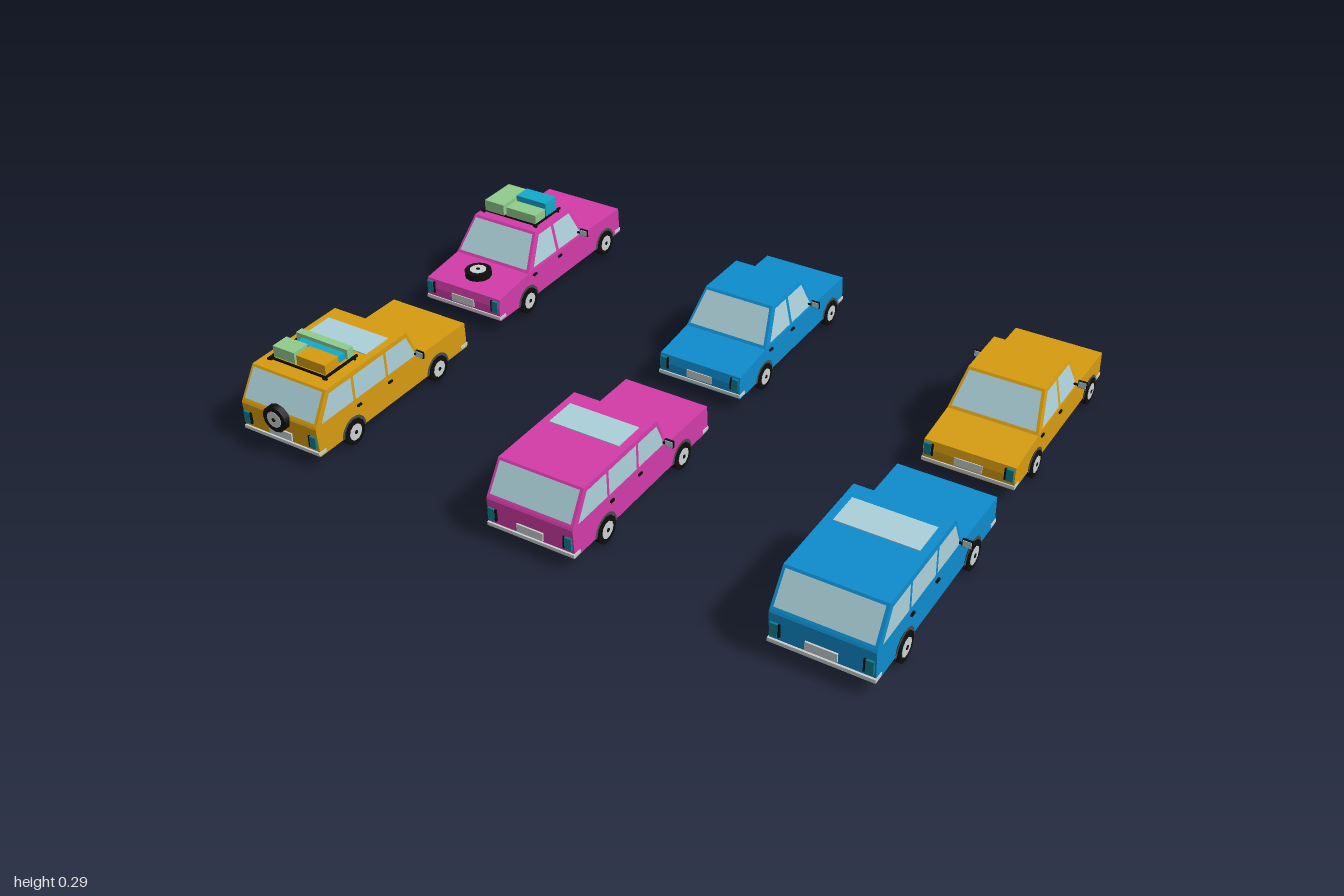
import * as THREE from 'three';

const mat = (name, color, double) => {
  const m = new THREE.MeshStandardMaterial({ color });
  m.name = name;
  if (double) m.side = THREE.DoubleSide;
  return m;
};
const M = {
  yellow: mat('yellowPaint', 0xd69c10, true),
  magenta: mat('magentaPaint', 0xd23ca8, true),
  blue: mat('bluePaint', 0x0d8ccd, true),
  glass: mat('glass', 0xabcfd8, true),
  black: mat('black', 0x0d0d0d),
  grey: mat('lightGrey', 0xc9cfcf),
  dark: mat('darkGrey', 0x484c4e, true),
  teal: mat('lampTeal', 0x0b7f92),
  cyan: mat('caseCyan', 0x13a8cc),
  green: mat('caseGreen', 0x90cb8c),
};

function add(parent, name, geo, material, x = 0, y = 0, z = 0) {
  const m = new THREE.Mesh(geo, material);
  m.name = name;
  m.position.set(x, y, z);
  parent.add(m);
  return m;
}
const box = (p, name, material, w, h, d, x, y, z) =>
  add(p, name, new THREE.BoxGeometry(w, h, d), material, x, y, z);

function triGeo(verts) {
  const g = new THREE.BufferGeometry();
  g.setAttribute('position', new THREE.Float32BufferAttribute(verts, 3));
  g.computeVertexNormals();
  return g;
}
const quad = (a, b, c, d) => triGeo([...a, ...b, ...c, ...a, ...c, ...d]);

// Side outlines run from rear bottom over the roof to front bottom: [z, y, half width].
// The four cabin corners start at index "cabin".
const HW = 0.131;
const SEDAN = {
  cabin: 3,
  outline: [[0.315, 0.035, HW], [0.32, 0.08, HW], [0.315, 0.106, HW], [0.17, 0.122, HW],
    [0.097, 0.222, 0.11], [-0.08, 0.222, 0.11], [-0.125, 0.122, HW], [-0.316, 0.119, HW], [-0.32, 0.035, HW]],
  windows: [[[0.143, 0.131], [0.087, 0.211], [0.025, 0.211], [0.025, 0.131]],
    [[0.012, 0.131], [0.012, 0.211], [-0.07, 0.211], [-0.105, 0.131]]],
  handles: [0.14, 0.01],
  wheels: [0.18, -0.23],
};
const WAGON = {
  cabin: 2,
  outline: [[0.322, 0.035, HW], [0.328, 0.125, HW], [0.325, 0.132, HW], [0.27, 0.22, 0.129],
    [-0.07, 0.22, 0.129], [-0.114, 0.121, HW], [-0.324, 0.118, HW], [-0.328, 0.035, HW]],
  windows: [[[0.305, 0.133], [0.262, 0.207], [0.174, 0.207], [0.174, 0.133]],
    [[0.164, 0.133], [0.164, 0.207], [0.036, 0.207], [0.036, 0.133]],
    [[0.026, 0.133], [0.026, 0.207], [-0.063, 0.207], [-0.097, 0.133]]],
  handles: [0.153, 0.02],
  wheels: [0.186, -0.186],
};

// Thin shell, open underneath
function shell({ outline, cabin }) {
  const v = [];
  const p = ([z, y, w], s) => [s * w, y, z];
  for (let i = 0; i < outline.length - 1; i++) {
    const a = outline[i], b = outline[i + 1];
    v.push(...p(a, 1), ...p(b, 1), ...p(b, -1), ...p(a, 1), ...p(b, -1), ...p(a, -1));
  }
  const upper = outline.slice(cabin, cabin + 4);
  const lower = outline.filter((_, i) => i !== cabin + 1 && i !== cabin + 2);
  for (const poly of [lower, upper]) {
    const contour = poly.map(([z, y]) => new THREE.Vector2(z, y));
    for (const [a, b, c] of THREE.ShapeUtils.triangulateShape(contour, [])) {
      const t = [poly[a], poly[b], poly[c]];
      const area = (t[1][0] - t[0][0]) * (t[2][1] - t[0][1]) - (t[1][1] - t[0][1]) * (t[2][0] - t[0][0]);
      if (area > 0) t.reverse();
      t.forEach((q) => v.push(...p(q, 1)));
      t.reverse().forEach((q) => v.push(...p(q, -1)));
    }
  }
  return triGeo(v);
}

// Wheel with its axis along x and a hub showing on both faces
function wheel(name) {
  const g = new THREE.Group();
  g.name = name;
  const disc = (n, r, w, sides, m) => {
    add(g, n, new THREE.CylinderGeometry(r, r, w, sides), m).rotation.z = Math.PI / 2;
  };
  disc('tyre', 0.04, 0.02, 12, M.black);
  disc('hub', 0.025, 0.023, 10, M.grey);
  disc('hubCap', 0.006, 0.026, 8, M.black);
  return g;
}

function car(name, kind, paint, x, z, scale) {
  const g = new THREE.Group();
  g.name = name;
  g.position.set(x, 0, z);
  g.scale.setScalar(scale);
  const { outline, cabin, windows, handles, wheels } = kind;
  add(g, 'body', shell(kind), paint);
  const [rb, rt, ft, fb] = outline.slice(cabin, cabin + 4);

  // Windscreen and rear window
  [['rearWindow', rb, rt, 1], ['windscreen', fb, ft, -1]].forEach(([n, a, b, s]) => {
    const at = (t) => [0, 1, 2].map((i) => a[i] + (b[i] - a[i]) * t);
    const l = at(0.07), h = at(0.93), o = 0.0015, e = 0.008;
    const pt = (q, side) => [side * (q[2] - e), q[1] + o, q[0] + s * o];
    add(g, n, quad(pt(l, 1), pt(h, 1), pt(h, -1), pt(l, -1)), M.glass);
  });

  const rear = outline[1][0], front = outline[outline.length - 1][0];
  for (const s of [1, -1]) {
    // Side windows follow the lean of the cabin
    windows.forEach((w) => {
      const pts = w.map(([wz, wy]) => {
        const t = (wy - rb[1]) / (rt[1] - rb[1]);
        return [s * (rb[2] + (rt[2] - rb[2]) * t + 0.002), wy, wz];
      });
      add(g, 'sideWindow', quad(...(s > 0 ? pts : pts.reverse())), M.glass);
    });
    handles.forEach((hz) => box(g, 'doorHandle', M.black, 0.006, 0.006, 0.016, s * 0.133, 0.108, hz));
    // Wheels and arches
    wheels.forEach((wz) => {
      const w = wheel('wheel');
      w.position.set(s * 0.129, 0.039, wz);
      g.add(w);
      const arch = new THREE.RingGeometry(0.038, 0.05, 12, 1, 0, Math.PI);
      add(g, 'wheelArch', arch, M.dark, s * 0.135, 0.037, wz).rotation.y = s * Math.PI / 2;
    });
    // Wing mirror
    box(g, 'mirrorArm', M.black, 0.02, 0.005, 0.005, s * 0.138, 0.14, -0.092);
    box(g, 'mirrorShell', M.black, 0.026, 0.021, 0.006, s * 0.154, 0.145, -0.091);
    box(g, 'mirrorGlass', M.glass, 0.022, 0.017, 0.002, s * 0.154, 0.145, -0.087);
    // Lamps
    box(g, 'tailLamp', M.teal, 0.02, 0.036, 0.008, s * 0.117, 0.082, rear);
    box(g, 'tailLampEdge', M.black, 0.005, 0.036, 0.006, s * 0.104, 0.082, rear);
    box(g, 'headLamp', M.teal, 0.022, 0.034, 0.01, s * 0.114, 0.085, front + 0.002);
  }
  box(g, 'grille', M.grey, 0.19, 0.026, 0.008, 0, 0.086, front + 0.002);
  box(g, 'numberPlate', M.grey, 0.08, 0.024, 0.005, 0, 0.07, rear);
  box(g, 'rearBumper', M.grey, 0.266, 0.01, 0.03, 0, 0.046, rear - 0.014);
  box(g, 'frontBumper', M.grey, 0.266, 0.01, 0.03, 0, 0.046, front + 0.014);
  if (kind === WAGON) box(g, 'sunroof', M.glass, 0.214, 0.003, 0.097, 0, 0.221, 0.03);
  return g;
}

// Roof rack: two long rails, cross bars and feet
function rack(parent, y, z, w, d) {
  for (const s of [1, -1]) {
    box(parent, 'rackRail', M.black, 0.006, 0.006, d, s * w / 2, y + 0.01, z);
    for (const e of [1, -1]) box(parent, 'rackFoot', M.black, 0.006, 0.012, 0.006, s * w / 2, y + 0.005, z + e * d * 0.42);
  }
  for (const e of [-0.42, 0, 0.42]) box(parent, 'rackBar', M.black, w, 0.005, 0.006, 0, y + 0.009, z + e * d);
}

export function createModel() {
  const root = new THREE.Group();
  root.name = 'carSet';
  const cars = [
    ['magentaSedan', SEDAN, M.magenta, -0.833, -0.4225, 1.035],
    ['blueSedan', SEDAN, M.blue, -0.005, -0.42, 1],
    ['yellowSedan', SEDAN, M.yellow, 0.82, -0.42, 1],
    ['yellowWagon', WAGON, M.yellow, -0.832, 0.3975, 1],
    ['magentaWagon', WAGON, M.magenta, -0.005, 0.4025, 1],
    ['blueWagon', WAGON, M.blue, 0.825, 0.4025, 1.06],
  ].map((c) => car(...c));
  root.add(...cars);

  // Luggage and spare wheel on the sedan
  const sedan = cars[0];
  rack(sedan, 0.221, 0.015, 0.19, 0.135);
  box(sedan, 'greenCase', M.green, 0.068, 0.034, 0.122, -0.052, 0.25, 0.016);
  box(sedan, 'cyanCaseLow', M.cyan, 0.105, 0.026, 0.054, 0.042, 0.246, -0.008);
  box(sedan, 'cyanCaseTop', M.cyan, 0.105, 0.017, 0.054, 0.042, 0.268, -0.008);
  box(sedan, 'greenCaseSmall', M.green, 0.105, 0.028, 0.05, 0.042, 0.247, 0.048);
  const trunkSpare = wheel('spareWheel');
  trunkSpare.rotation.z = Math.PI / 2;
  trunkSpare.position.set(0, 0.124, 0.24);
  sedan.add(trunkSpare);

  // Luggage and spare wheel on the wagon
  const wagon = cars[3];
  rack(wagon, 0.219, 0.172, 0.195, 0.14);
  box(wagon, 'greenCaseLong', M.green, 0.18, 0.03, 0.024, 0.005, 0.248, 0.125);
  box(wagon, 'cyanCase', M.cyan, 0.15, 0.02, 0.026, 0.012, 0.243, 0.151);
  box(wagon, 'greenCase', M.green, 0.075, 0.034, 0.055, -0.05, 0.25, 0.2);
  box(wagon, 'yellowCase', M.yellow, 0.1, 0.03, 0.055, 0.045, 0.248, 0.2);
  const gateSpare = wheel('spareWheel');
  gateSpare.rotation.y = Math.PI / 2;
  gateSpare.position.set(0, 0.124, 0.335);
  wagon.add(gateSpare);
  return root;
}
